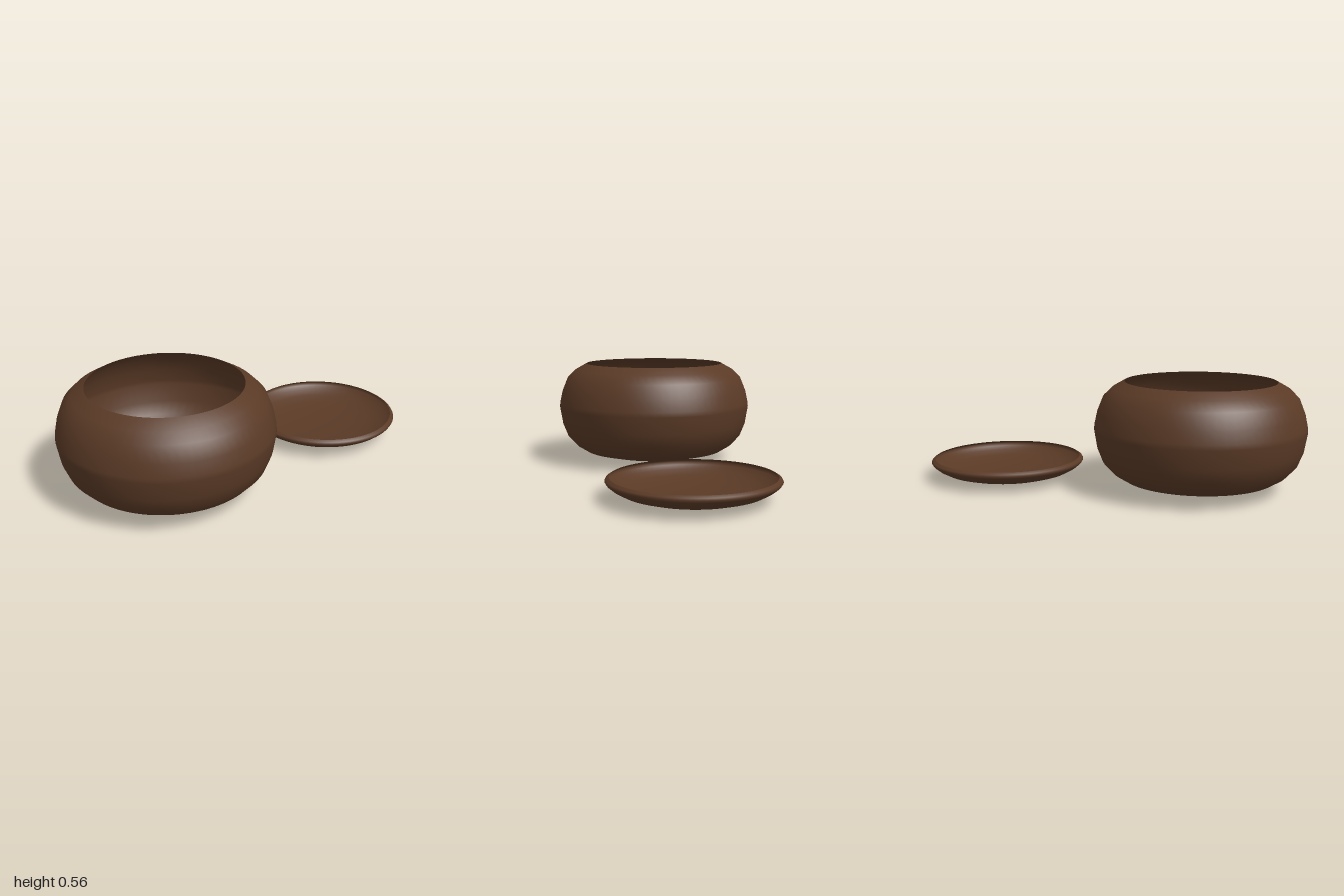
import * as THREE from 'three';

// Turned shell: outer profile as [radius, height] pairs, from the base up to the rim
function turned(name, profile, z, material) {
  const points = profile.map(([r, y]) => new THREE.Vector2(r, y));
  const mesh = new THREE.Mesh(new THREE.LatheGeometry(points, 72), material);
  mesh.name = name;
  mesh.position.z = z;
  return mesh;
}

export function createModel() {
  const group = new THREE.Group();
  group.name = 'lidded bowl';
  const wood = new THREE.MeshStandardMaterial({ color: 0x5a3a26, side: THREE.DoubleSide });
  wood.name = 'dark brown wood';

  // Round-bellied open bowl
  group.add(turned('bowl', [
    [0, 0.012], [0.1, 0.014], [0.2, 0.021], [0.3, 0.035], [0.395, 0.058],
    [0.45, 0.092], [0.499, 0.145], [0.527, 0.215], [0.543, 0.31], [0.541, 0.335],
    [0.527, 0.4], [0.497, 0.475], [0.45, 0.521], [0.388, 0.556],
  ], 0.456, wood));

  // Shallow lid lying upside down behind the bowl, its rim turned inward
  group.add(turned('lid', [
    [0, 0], [0.1, 0.003], [0.2, 0.011], [0.28, 0.024], [0.34, 0.042],
    [0.38, 0.064], [0.403, 0.083], [0.41, 0.095], [0.405, 0.104], [0.39, 0.113],
  ], -0.59, wood));

  return group;
}
